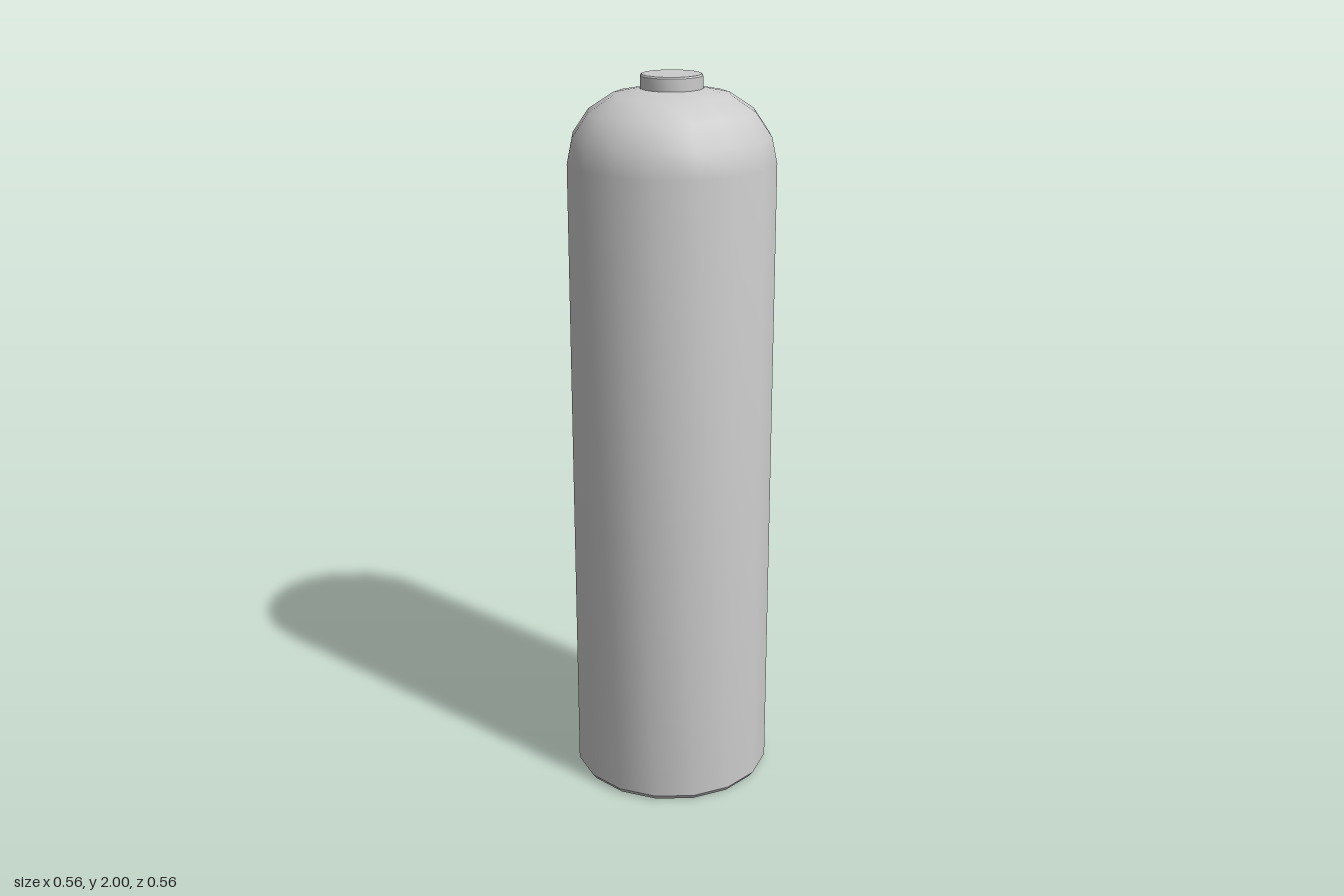
import * as THREE from 'three';
import { toCreasedNormals } from 'three/addons/utils/BufferGeometryUtils.js';

const SIDES = 16;

// Revolves a bottom-to-top profile of [radius, height] pairs
function turned(name, profile, material) {
  const points = profile.map(([r, y]) => new THREE.Vector2(r, y));
  const geometry = toCreasedNormals(new THREE.LatheGeometry(points, SIDES), 0.6);
  const mesh = new THREE.Mesh(geometry, material);
  mesh.name = name;
  return mesh;
}

export function createModel() {
  const group = new THREE.Group();
  group.name = 'cylinder';
  const material = new THREE.MeshStandardMaterial({ color: 0xcccccc });

  // Tank: flat base with a small bevel, straight wall and rounded shoulder
  group.add(turned('tankBody', [
    [0, 0], [0.268, 0], [0.279, 0.015],
    [0.279, 1.775], [0.265, 1.842], [0.222, 1.905], [0.155, 1.949], [0.08, 1.964], [0, 1.964],
  ], material));

  // Neck cap: short disc with a slightly bevelled rim
  group.add(turned('neckCap', [
    [0, 1.955], [0.083, 1.955], [0.083, 1.996], [0.079, 2], [0, 2],
  ], material));

  return group;
}
